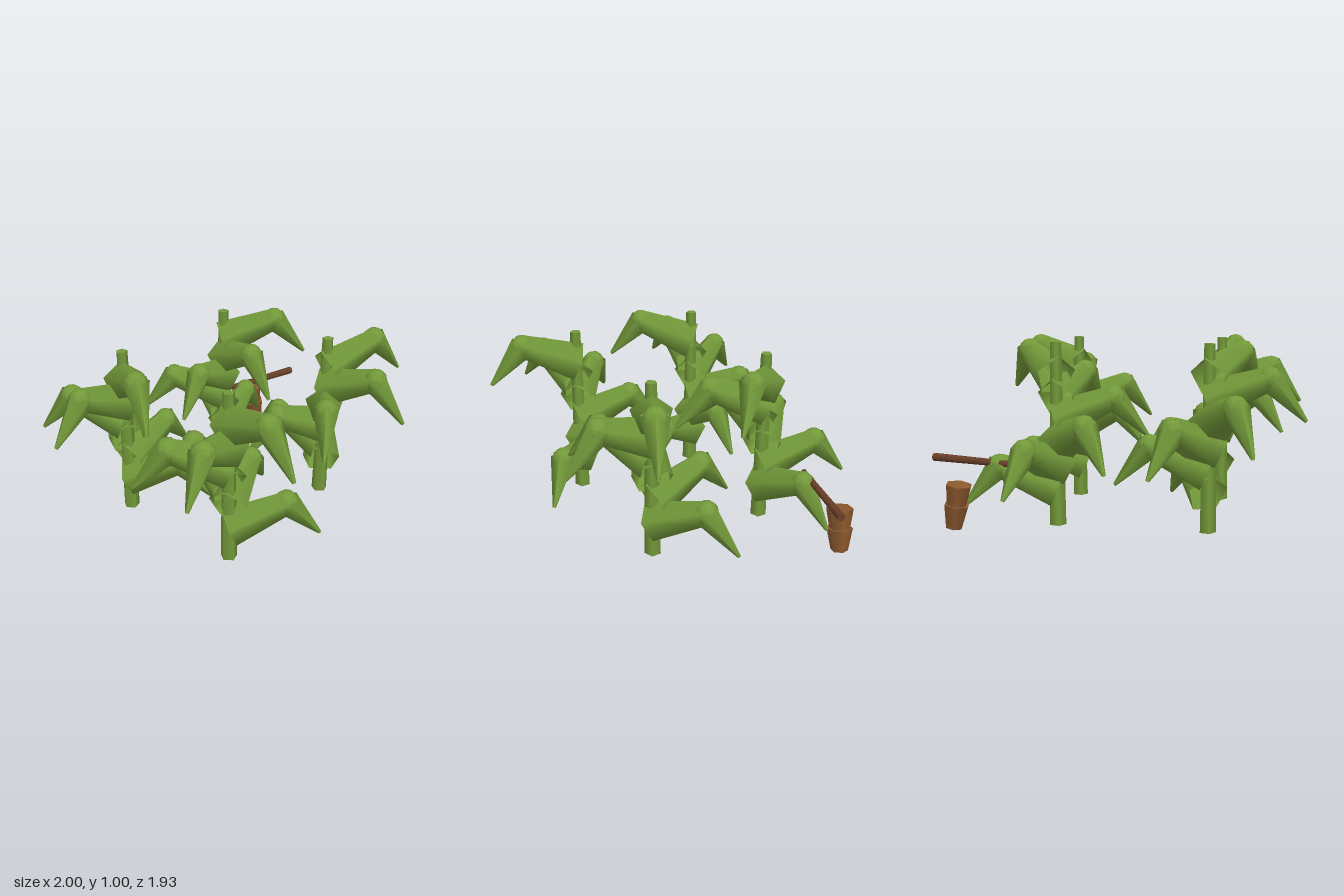
import * as THREE from 'three';

// Leaves are open sleeves, so the green shows from both sides
const green = new THREE.MeshStandardMaterial({ color: 0x739a3a, side: THREE.DoubleSide });
green.name = 'leafGreen';
const clay = new THREE.MeshStandardMaterial({ color: 0x8c5a2e });
clay.name = 'clayBrown';
const wood = new THREE.MeshStandardMaterial({ color: 0x6b4029 });
wood.name = 'darkWood';

const v = (x, y, z = 0) => new THREE.Vector3(x, y, z);

// Tapered rod running from point a to point b; turn spins its corners about its axis
function rod(name, a, b, ra, rb, sides, material, { open = false, turn = 0 } = {}) {
  const dir = new THREE.Vector3().subVectors(b, a);
  const geometry = new THREE.CylinderGeometry(rb, ra, dir.length(), sides, 1, open, turn);
  const mesh = new THREE.Mesh(geometry, material);
  mesh.name = name;
  mesh.position.addVectors(a, b).multiplyScalar(0.5);
  mesh.quaternion.setFromUnitVectors(v(0, 1), dir.normalize());
  return mesh;
}

// A leaf pointing along +x: open five-sided rising half, elbow, drooping tip.
// The five-sided sleeves have a ridge on top.
function makeLeaf() {
  const leaf = new THREE.Group();
  leaf.name = 'leaf';
  const sleeve = { open: true, turn: -Math.PI / 2 };
  const elbow = v(0.305, -0.067);
  leaf.add(rod('leafBase', v(0, -0.19), elbow, 0.113, 0.067, 5, green, sleeve));
  leaf.add(rod('leafTip', v(0.3, -0.065), v(0.492, -0.278), 0.075, 0.01, 5, green, sleeve));
  const joint = new THREE.Mesh(new THREE.SphereGeometry(0.066, 8, 6), green);
  joint.name = 'leafElbow';
  joint.position.copy(elbow);
  leaf.add(joint);
  return leaf;
}

// A stem with six leaves spiralling down from the top
function makePlant(x, z, topAngle) {
  const plant = new THREE.Group();
  plant.name = 'plant';
  plant.position.set(x, 0, z);
  plant.add(rod('stem', v(0, 0.01), v(0, 0.99), 0.046, 0.031, 5, green));
  for (let i = 0; i < 6; i++) {
    const leaf = makeLeaf();
    leaf.position.y = 1 - 0.12 * i;
    leaf.rotation.y = -THREE.MathUtils.degToRad(topAngle + 60 * i);
    plant.add(leaf);
  }
  return plant;
}

export function createModel() {
  const model = new THREE.Group();
  model.name = 'plantCluster';

  // Stem x, stem z, heading of the highest leaf in degrees from +x towards +z
  for (const [x, z, angle] of [
    [-0.52, -0.27, 105], [0.265, -0.465, 32], [0.505, 0.215, 9.5], [-0.328, 0.463, 87],
  ]) model.add(makePlant(x, z, angle));

  // Leaning pair of stacked hexagonal cups
  const cups = new THREE.Group();
  cups.name = 'stackedCups';
  const corner = { turn: Math.PI / 2 };
  cups.add(rod('lowerCup', v(0, 0), v(0, 0.13), 0.046, 0.07, 6, clay, corner));
  cups.add(rod('upperCup', v(0, 0.12), v(0, 0.24), 0.054, 0.072, 6, clay, corner));
  cups.position.set(0.73, 0.01, -0.76);
  cups.rotation.z = 0.17;
  model.add(cups);

  // Horizontal stick
  model.add(rod('stick', v(0.455, 0.355, -0.643), v(0.94, 0.355, -0.643), 0.018, 0.023, 6, wood));
  return model;
}
